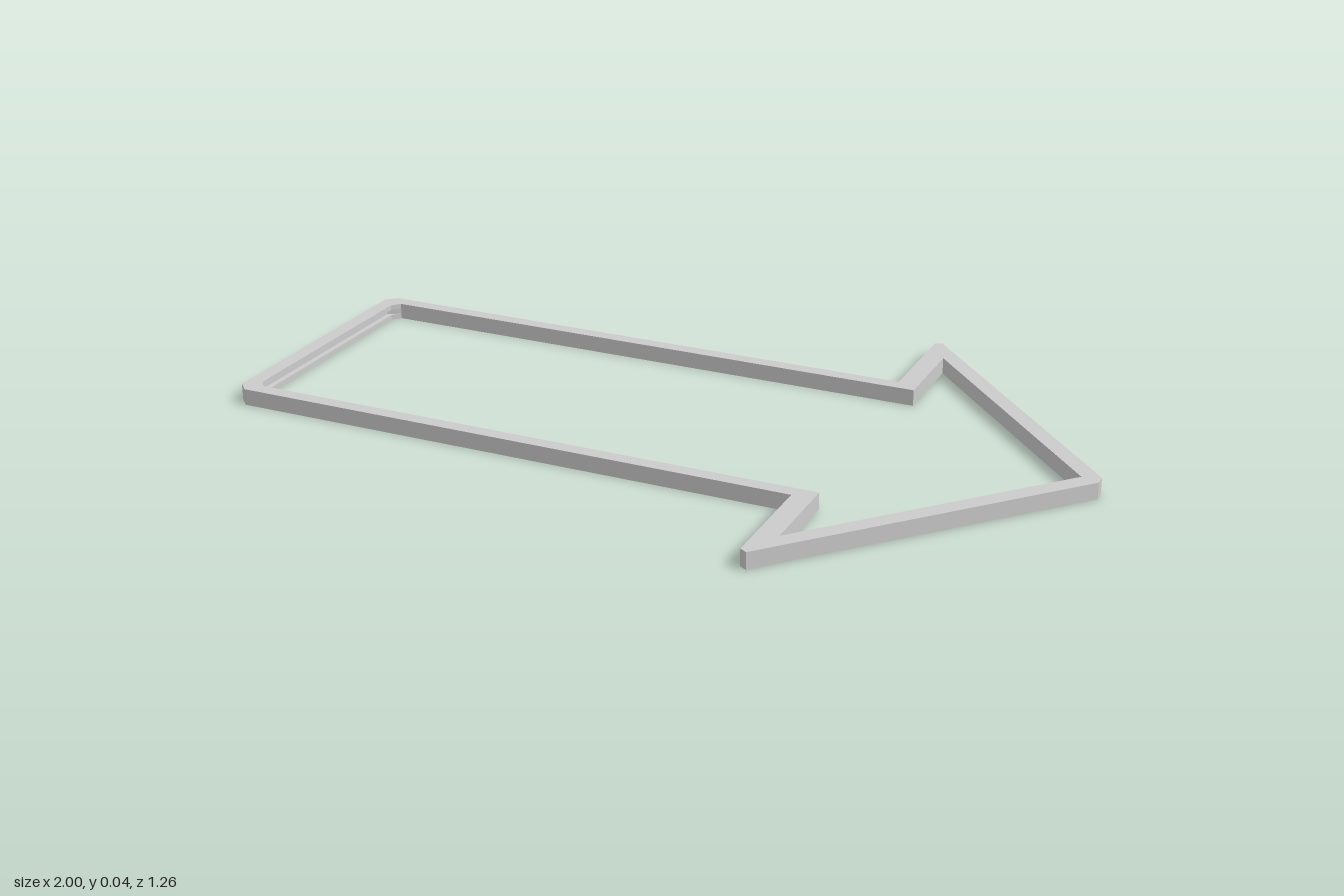
import * as THREE from 'three';

const HEIGHT = 0.04;

// Matching corners of half the arrow outline: outer [x, z], inner [x, z], groove depth
const half = [
  [0.997, 0.013, 0.955, 0, 0],        // point of the arrow
  [0.437, 0.63, 0.47, 0.535, 0],      // barb
  [0.42, 0.62, 0.47, 0.535, 0],
  [0.42, 0.345, 0.47, 0.31, 0],       // where head meets shaft
  [-0.975, 0.345, -0.945, 0.31, 0],   // chamfered tail corner
  [-1, 0.32, -0.963, 0.29, 0.014],
];

// Cross-section of the frame at one corner, going up the outside and down the inside
function section([ox, oz, ix, iz, g]) {
  return [
    [ox, 0, oz], [ox, HEIGHT, oz], [ix, HEIGHT, iz],
    [ix, HEIGHT * 0.68, iz], [ix - g, HEIGHT * 0.68, iz],
    [ix - g, HEIGHT * 0.32, iz], [ix, HEIGHT * 0.32, iz], [ix, 0, iz],
  ].map((p) => new THREE.Vector3(...p));
}

// Joins the cross-sections into a closed loop, leaving out empty triangles
function loopGeometry(sections) {
  const positions = [];
  const addTriangle = (a, b, c) => {
    if (new THREE.Triangle(a, b, c).getArea() < 1e-7) return;
    for (const p of [a, b, c]) positions.push(p.x, p.y, p.z);
  };
  sections.forEach((s, i) => {
    const t = sections[(i + 1) % sections.length];
    s.forEach((a, j) => {
      const k = (j + 1) % s.length;
      addTriangle(a, s[k], t[k]);
      addTriangle(a, t[k], t[j]);
    });
  });
  const geometry = new THREE.BufferGeometry();
  geometry.setAttribute('position', new THREE.Float32BufferAttribute(positions, 3));
  geometry.computeVertexNormals();
  return geometry;
}

export function createModel() {
  const group = new THREE.Group();
  group.name = 'arrow';

  // Mirror the half outline across z to close the frame
  const mirrored = half.map(([ox, oz, ix, iz, g]) => [ox, -oz, ix, -iz, g]).reverse();
  const frame = new THREE.Mesh(
    loopGeometry([...half, ...mirrored].map(section)),
    new THREE.MeshStandardMaterial({ color: 0xcccccc, flatShading: true })
  );
  frame.name = 'arrowFrame';
  group.add(frame);
  return group;
}
